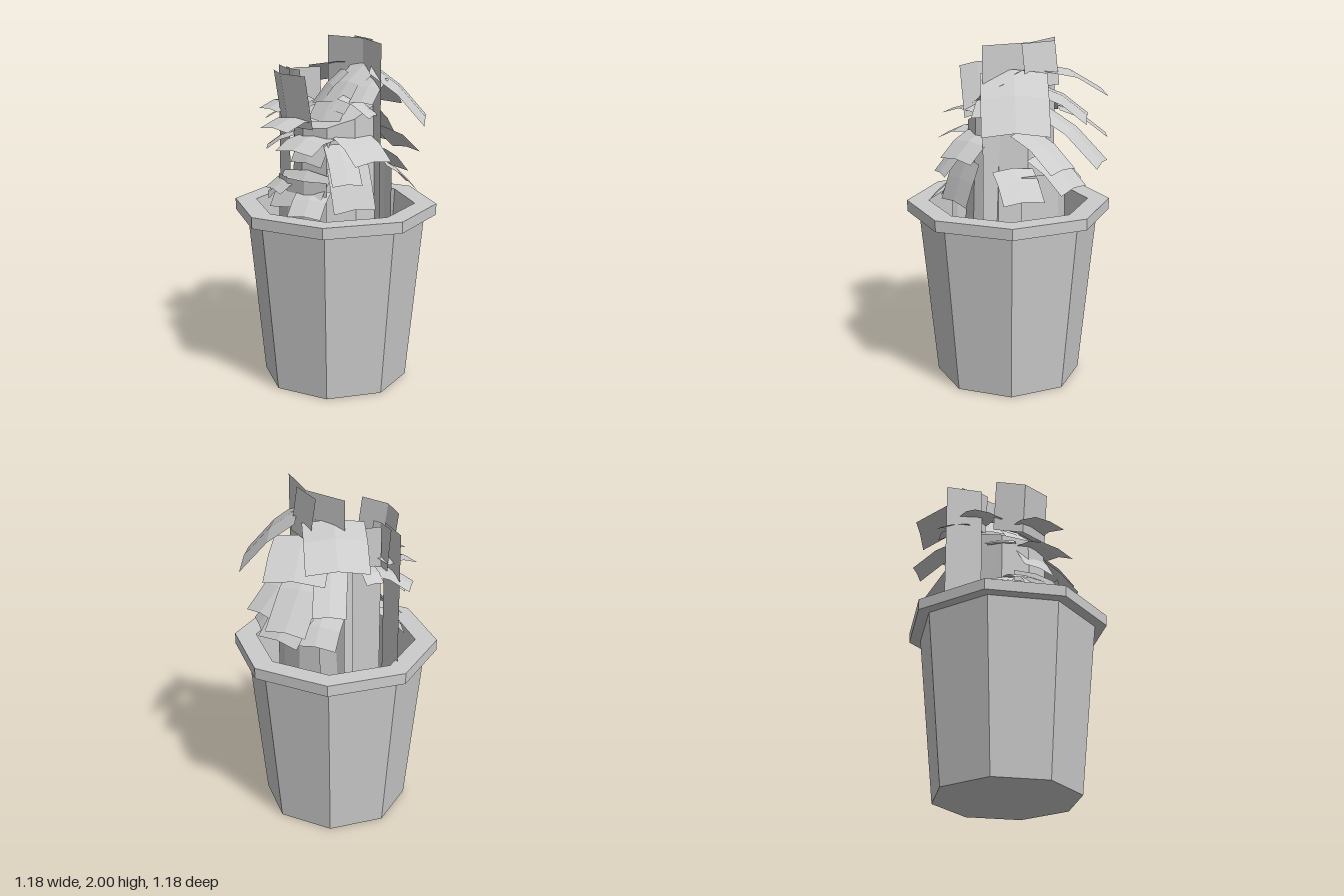
import * as THREE from 'three';

const grey = new THREE.MeshStandardMaterial({ color: 0xcccccc, flatShading: true, side: THREE.DoubleSide });
grey.name = 'plainGrey';

const add = (group, name, geometry) => {
  const mesh = new THREE.Mesh(geometry, grey);
  mesh.name = name;
  group.add(mesh);
  return mesh;
};

// Surface through equal-length rows of points
function loft(rows) {
  const n = rows[0].length;
  const index = [];
  for (let r = 0; r < rows.length - 1; r++)
    for (let c = 0; c < n - 1; c++) {
      const a = r * n + c;
      index.push(a, a + n, a + 1, a + 1, a + n, a + n + 1);
    }
  const geometry = new THREE.BufferGeometry();
  geometry.setAttribute('position', new THREE.Float32BufferAttribute(rows.flat(2), 3));
  geometry.setIndex(index);
  geometry.computeVertexNormals();
  return geometry;
}

// Drooping sheet from an inner to an outer point, arched along and across
function droopingSheet([x0, y0, z0, x1, y1, z1, width]) {
  const dx = x1 - x0, dz = z1 - z0, len = Math.hypot(dx, dz);
  const arch = 0.1 * len, sag = 0.06 * width;
  return loft([0, 0.5, 1].map(t => [-0.5, 0, 0.5].map(s => [
    x0 + dx * t - dz / len * s * width,
    y0 + (y1 - y0) * t + arch * 4 * t * (1 - t) - sag * Math.abs(s) * 2,
    z0 + dz * t + dx / len * s * width,
  ])));
}

// Upright sheet over a ground path, its foot shifted by [x, z]
function uprightSheet(path, bottom, top, shift = [0, 0]) {
  return loft([
    path.map(([x, z]) => [x, top, z]),
    path.map(([x, z]) => [x + shift[0], bottom, z + shift[1]]),
  ]);
}

export function createModel() {
  const model = new THREE.Group();
  model.name = 'paperBin';

  // Eight-sided bin with a wide rim and open inside
  const profile = [[0, 0], [0.424, 0], [0.522, 1], [0.59, 1], [0.59, 1.065],
    [0.465, 1.065], [0.4, 0.06], [0, 0.06]].map(p => new THREE.Vector2(...p));
  add(model, 'bin', new THREE.LatheGeometry(profile, 8));

  // Packed paper in the middle, sloping down to the front
  const core = new THREE.CylinderGeometry(0.23, 0.28, 1.5, 9, 2, false);
  const pos = core.attributes.position;
  for (let i = 0; i < pos.count; i++) {
    if (pos.getY(i) > 0.65) pos.setY(i, 0.75 - pos.getZ(i) * 0.35);
  }
  const pack = add(model, 'packedPaper', core);
  pack.position.y = 0.85;

  // Sheets standing upright
  const standing = new THREE.Group();
  standing.name = 'standingSheets';
  model.add(standing);
  add(standing, 'tallSheet', uprightSheet([[-0.24, -0.14], [0.02, -0.19], [0.3, -0.085]], 0.3, 2));
  add(standing, 'rearSmallSheet', uprightSheet([[-0.12, -0.24], [0.1, -0.19]], 1.76, 2, [0.005, -0.04]));
  add(standing, 'sideSheet', uprightSheet([[-0.46, 0.06], [-0.26, 0.13]], 0.9, 1.82));
  add(standing, 'sideCrossSheet', uprightSheet([[-0.3, 0.07], [-0.235, -0.08]], 0.9, 1.82));
  add(standing, 'sideSmallSheet', uprightSheet([[-0.37, 0.075], [-0.25, 0.11], [-0.2, 0.1]], 1.58, 1.82, [0, -0.025]));
  add(standing, 'frontSheet', uprightSheet([[-0.24, 0.255], [-0.08, 0.325], [0.1, 0.29]], 1.53, 1.83, [0.01, -0.045]));

  // Low curved sheets at the front and back of the middle
  for (const [angle, top] of [[0.15, 1.25], [3.14, 1.28]]) {
    const path = [-0.6, -0.2, 0.2, 0.6].map(d =>
      [Math.sin(angle + d) * 0.33, Math.cos(angle + d) * 0.33]);
    add(standing, 'curvedSheet', uprightSheet(path, 0.6, top));
  }

  // Loose sheets in three layers: inner point, outer point, width
  const layers = {
    upperSheets: [
      [0.13, 1.86, -0.16, 0.35, 1.57, -0.38, 0.37],
      [-0.12, 1.86, -0.12, -0.415, 1.71, -0.34, 0.34],
      [0.04, 1.86, -0.19, 0.06, 1.62, 0.08, 0.22],
      [0.18, 1.8, -0.16, 0.25, 1.68, 0.02, 0.15],
      [-0.06, 1.82, -0.12, -0.13, 1.63, 0.04, 0.16],
      [-0.13, 1.67, 0.08, -0.15, 1.58, 0.22, 0.11],
      [0.0, 1.76, -0.22, -0.17, 1.6, -0.44, 0.34],
      [0.1, 1.7, 0.03, 0.27, 1.6, -0.06, 0.14],
      [-0.29, 1.64, 0.05, -0.29, 1.6, 0.26, 0.19],
    ],
    middleSheets: [
      [-0.05, 1.63, -0.2, -0.2, 1.34, -0.53, 0.24],
      [0.1, 1.52, -0.2, 0.08, 1.34, -0.48, 0.22],
      [-0.2, 1.62, -0.2, -0.4, 1.46, -0.39, 0.18],
      [-0.3, 1.62, -0.04, -0.42, 1.57, -0.08, 0.1],
      [-0.31, 1.6, 0.0, -0.48, 1.52, 0.13, 0.15],
      [-0.02, 1.58, 0.18, 0.01, 1.55, 0.44, 0.22],
      [0.06, 1.49, 0.18, 0.11, 1.43, 0.38, 0.26],
      [0.03, 1.66, 0.05, 0.06, 1.34, 0.26, 0.24],
      [0.18, 1.5, 0.03, 0.39, 1.37, 0.04, 0.25],
      [0.18, 1.45, 0.12, 0.36, 1.26, 0.2, 0.17],
      [-0.15, 1.48, 0.18, -0.25, 1.4, 0.3, 0.17],
    ],
    lowerSheets: [
      [0.0, 1.38, -0.24, -0.04, 1.21, -0.46, 0.28],
      [0.18, 1.32, -0.2, 0.26, 1.17, -0.36, 0.24],
      [-0.14, 1.34, -0.2, -0.22, 1.2, -0.34, 0.24],
      [0.04, 1.29, 0.23, 0.07, 1.1, 0.36, 0.34],
      [-0.06, 1.26, 0.22, -0.09, 1.18, 0.38, 0.2],
      [0.13, 1.2, 0.25, 0.21, 1.08, 0.39, 0.2],
      [-0.14, 1.25, 0.2, -0.22, 1.12, 0.32, 0.18],
      [0.24, 1.34, 0.1, 0.33, 1.1, 0.12, 0.26],
    ],
  };
  for (const [name, rows] of Object.entries(layers)) {
    const layer = new THREE.Group();
    layer.name = name;
    model.add(layer);
    rows.forEach(row => add(layer, 'looseSheet', droopingSheet(row)));
  }
  return model;
}
